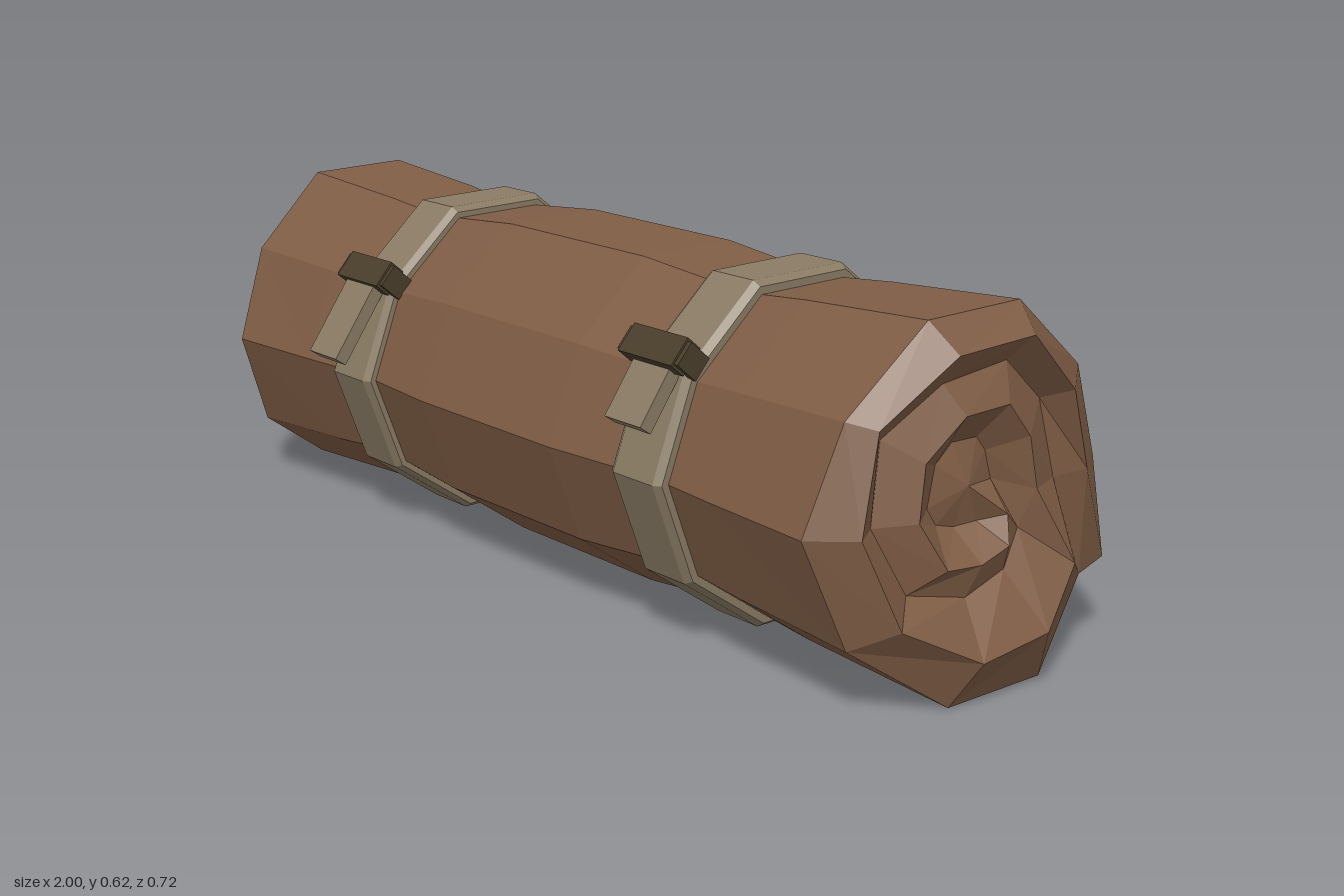
import * as THREE from 'three';

const CY = 0.31; // height of the roll's axis

// Outer profile [z, y], starting at the loose flap and running over the top to the tuck
const FLAP = [-0.36, 0.145];
const PROFILE = [
  [-0.335, 0.325], [-0.265, 0.495], [-0.10, 0.627], [0.10, 0.62], [0.25, 0.48],
  [0.315, 0.30], [0.245, 0.115], [0.08, 0.003], [-0.125, 0.01], [-0.28, 0.135],
];
const TUCK = PROFILE[9];
const RIM_X = [0.87, 0.86, 0.88, 0.9, 0.9, 0.88, 0.86, 0.89, 0.95, 0.95, 0.89];

// Spiral ridges and grooves of the rolled ends [x, z, y]; each ring starts where the previous one ends
const SPIRAL = [
  [[0.89, -0.28, 0.135], [0.91, -0.265, 0.325], [0.93, -0.205, 0.47], [0.95, -0.085, 0.58],
    [0.95, 0.08, 0.57], [0.92, 0.215, 0.468], [0.93, 0.255, 0.305], [0.96, 0.195, 0.155],
    [1, 0.055, 0.085], [1, -0.09, 0.105], [0.96, -0.19, 0.19]],
  [[0.96, -0.19, 0.19], [0.9, -0.195, 0.32], [0.89, -0.165, 0.455], [0.9, -0.075, 0.533],
    [0.9, 0.065, 0.515], [0.88, 0.175, 0.44], [0.89, 0.2, 0.305], [0.91, 0.14, 0.19],
    [0.93, 0.03, 0.17], [0.93, -0.055, 0.2], [0.91, -0.105, 0.255]],
  [[0.91, -0.105, 0.255], [0.93, -0.125, 0.32], [0.93, -0.105, 0.41], [0.93, -0.055, 0.47],
    [0.93, 0.04, 0.465], [0.92, 0.115, 0.4], [0.93, 0.135, 0.31], [0.95, 0.09, 0.23],
    [0.95, 0.015, 0.225], [0.95, -0.045, 0.245], [0.93, -0.06, 0.29]],
  [[0.93, -0.06, 0.29], [0.88, -0.07, 0.335], [0.88, -0.055, 0.385], [0.88, -0.035, 0.41],
    [0.88, 0.02, 0.41], [0.88, 0.055, 0.38], [0.88, 0.07, 0.31], [0.88, 0.05, 0.28],
    [0.88, 0.01, 0.27], [0.89, -0.03, 0.275], [0.93, -0.06, 0.29]],
];
const CORE = [0.9, 0, 0.34];

// Collects [x, z, y] quads and makes a faceted geometry
function faceted(quads) {
  const pos = [];
  const put = (p) => pos.push(p[0], p[2], p[1]);
  for (const [a, b, c, d] of quads) [a, b, c, a, c, d].forEach(put);
  const geo = new THREE.BufferGeometry();
  geo.setAttribute('position', new THREE.Float32BufferAttribute(pos, 3));
  geo.computeVertexNormals();
  return geo;
}

// Joins closed sections running along +x
function loft(sections, closed = false) {
  const quads = [];
  const n = sections[0].length;
  const last = closed ? sections.length : sections.length - 1;
  for (let s = 0; s < last; s++) {
    const A = sections[s], B = sections[(s + 1) % sections.length];
    for (let i = 0; i < n; i++) {
      const j = (i + 1) % n;
      quads.push([A[i], A[j], B[j], B[i]]);
    }
  }
  return faceted(quads);
}

const scaled = (pts, x, s) => pts.map(([z, y]) => [x, z * s, CY + (y - CY) * s]);

// Whole profile with the flap lifted by a given amount
const withFlap = (lift) => [
  FLAP.map((v, k) => TUCK[k] + (v - TUCK[k]) * lift), ...PROFILE,
];

const rim = (side) => withFlap(1).map(([z, y], i) => [side * RIM_X[i], z, y]);

function rollBody() {
  const stations = [
    [-0.62, 0.945, 0.4], [-0.5, 0.91, 0.1], [-0.38, 0.92, 0.1], [-0.2, 0.968, 0.1],
    [0.2, 0.968, 0.1], [0.38, 0.92, 0.1], [0.5, 0.91, 0.1], [0.62, 0.945, 0.4],
  ];
  return loft([rim(-1), ...stations.map(([x, s, f]) => scaled(withFlap(f), x, s)), rim(1)]);
}

function rollEnd(side) {
  const rings = [rim(1), ...SPIRAL, Array(11).fill(CORE)];
  const quads = [];
  for (let r = 0; r < rings.length - 1; r++) {
    for (let i = 0; i < 10; i++) {
      const q = [rings[r][i], rings[r][i + 1], rings[r + 1][i + 1], rings[r + 1][i]];
      if (side > 0) quads.push(q);
      else quads.push(q.map(([x, z, y]) => [-x, z, y]).reverse());
    }
  }
  return faceted(quads);
}

// Strap band with bevelled edges
function strapBand(x) {
  const shape = [[-0.066, 0.89], [-0.066, 0.955], [-0.052, 0.985], [0.052, 0.985], [0.066, 0.955], [0.066, 0.89]];
  return loft(shape.map(([dx, s]) => scaled(PROFILE, x + dx, s)));
}

export function createModel() {
  const model = new THREE.Group();
  model.name = 'bedroll';
  const material = (name, color) => {
    const m = new THREE.MeshStandardMaterial({ color });
    m.name = name;
    return m;
  };
  const cloth = material('brown cloth', 0x7f5d45);
  const webbing = material('tan strap', 0x8a7b64);
  const metal = material('dark buckle', 0x4a3e2b);

  const add = (parent, name, geo, mat) => {
    const mesh = new THREE.Mesh(geo, mat);
    mesh.name = name;
    parent.add(mesh);
    return mesh;
  };

  add(model, 'rollBody', rollBody(), cloth);
  add(model, 'leftSpiralEnd', rollEnd(1), cloth);
  add(model, 'rightSpiralEnd', rollEnd(-1), cloth);

  // Straps: band, buckle and hanging tail; tail runs from [y, z] to [y, z]
  const straps = [
    { name: 'rightStrap', x: -0.45, buckleY: 0.49, from: [0.5, 0.245], to: [0.342, 0.352] },
    { name: 'leftStrap', x: 0.44, buckleY: 0.505, from: [0.505, 0.24], to: [0.392, 0.317] },
  ];
  for (const { name, x, buckleY, from, to } of straps) {
    const strap = new THREE.Group();
    strap.name = name;
    model.add(strap);
    add(strap, 'band', strapBand(x), webbing);

    const dy = from[0] - to[0], dz = from[1] - to[1];
    const tail = add(strap, 'tail', new THREE.BoxGeometry(0.095, Math.hypot(dy, dz), 0.026), webbing);
    tail.position.set(x - 0.005, (from[0] + to[0]) / 2, (from[1] + to[1]) / 2);
    tail.rotation.x = Math.atan2(dz, dy);

    const buckle = new THREE.Group();
    buckle.name = 'buckle';
    buckle.position.set(x - 0.005, buckleY + 0.005, 0.252);
    buckle.rotation.x = -0.7;
    strap.add(buckle);
    add(buckle, 'buckleBar', new THREE.BoxGeometry(0.14, 0.055, 0.034), metal);
    for (const side of [-1, 1]) {
      const end = add(buckle, 'buckleEnd', new THREE.BoxGeometry(0.015, 0.045, 0.05), metal);
      end.position.set(side * 0.072, 0, -0.012);
    }
  }
  return model;
}
